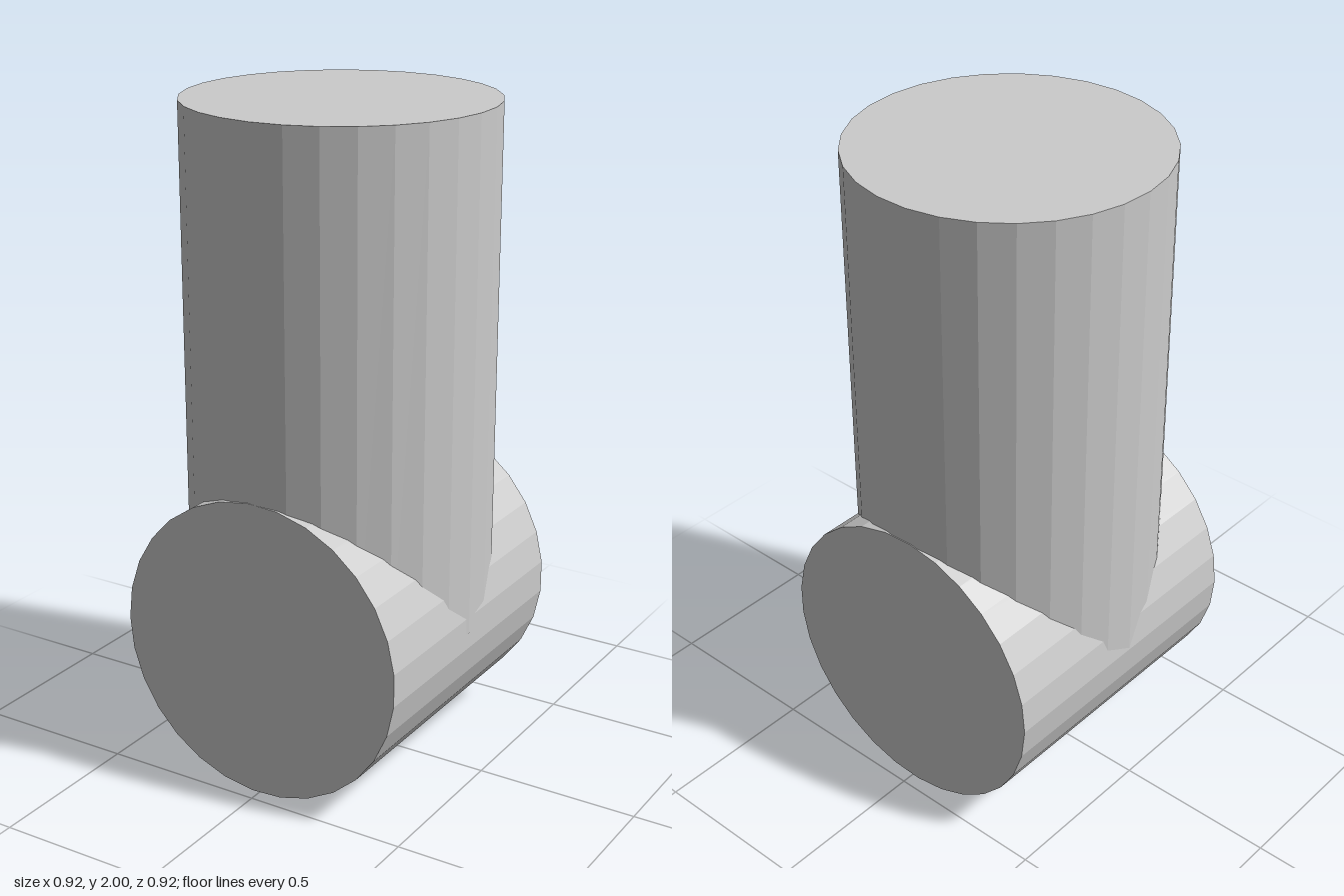
import * as THREE from 'three';

const RADIUS = 0.46;
const SIDES = 29;
const HEIGHT = 2;

export function createModel() {
  const group = new THREE.Group();
  group.name = 'teeJoint';
  const material = new THREE.MeshStandardMaterial({ color: 0xcccccc, flatShading: true });

  const add = (name, geometry) => {
    const mesh = new THREE.Mesh(geometry, material);
    mesh.name = name;
    group.add(mesh);
  };

  // Lying cylinder along z, as long as it is wide, with a corner on its -x side
  const base = new THREE.CylinderGeometry(RADIUS, RADIUS, RADIUS * 2, SIDES, 1, false, -Math.PI / 2);
  base.rotateX(Math.PI / 2);
  base.translate(0, RADIUS, 0);
  add('horizontalCylinder', base);

  // Upright cylinder of the same radius, rising from the axis of the lying one
  const length = HEIGHT - RADIUS;
  const post = new THREE.CylinderGeometry(RADIUS, RADIUS, length, SIDES);
  post.translate(0, RADIUS + length / 2, 0);
  add('verticalCylinder', post);

  return group;
}
